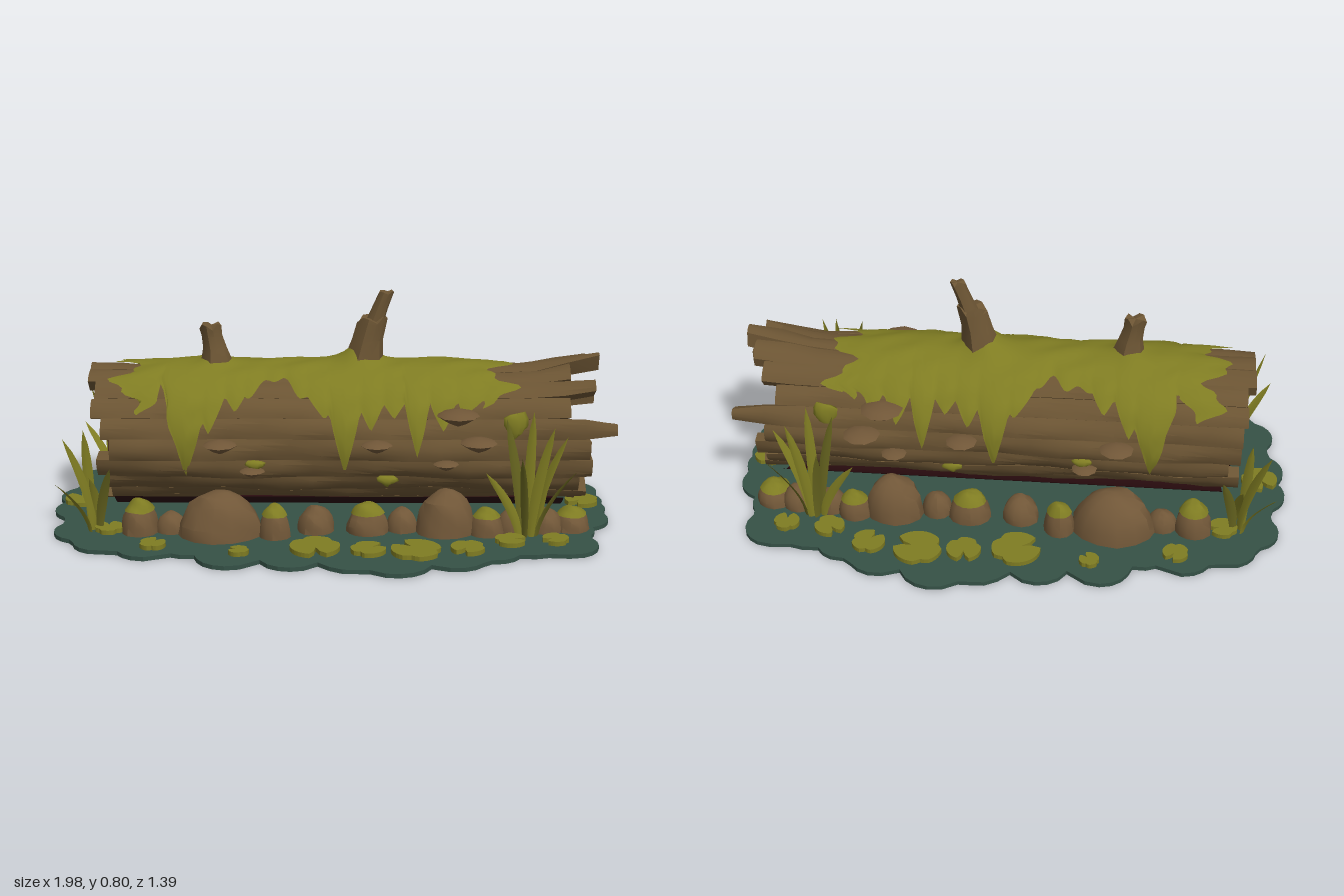
import * as THREE from 'three';
import { toCreasedNormals } from 'three/addons/utils/BufferGeometryUtils.js';

const mat = (name, color, side = THREE.FrontSide) => Object.assign(new THREE.MeshStandardMaterial({ color, side }), { name });
const M = {
  bark: mat('bark brown', 0x6b5433),
  rock: mat('rock brown', 0x715738),
  moss: mat('moss olive', 0x7f7c22, THREE.DoubleSide),
  blade: mat('dark olive', 0x66641f, THREE.DoubleSide),
  water: mat('pond teal', 0x355146),
  inside: mat('hollow maroon', 0x2a0c0f, THREE.DoubleSide),
};
const CY = 0.293, RY = 0.235, RZ = 0.248, HOLE_Z = -0.014, HOLE_K = 0.94;
const smooth = THREE.MathUtils.smoothstep;
const noise = (x, y, z) => Math.sin(x * 1.7 + y * 2.3 + 1) * Math.sin(y * 1.9 - z * 2.1 + 2) + 0.5 * Math.sin(x * 4.1 - z * 3.7 + y * 3);
let seed = 7;
const rand = () => (seed = (seed * 16807) % 2147483647) / 2147483647;

const crease = (g) => toCreasedNormals(g, 0.6);
function add(parent, name, geo, material) {
  const m = new THREE.Mesh(geo, material);
  m.name = name;
  parent.add(m);
  return m;
}
function warp(geo, rule) {
  const p = geo.attributes.position, v = new THREE.Vector3();
  for (let i = 0; i < p.count; i++) { v.fromBufferAttribute(p, i); rule(v); p.setXYZ(i, v.x, v.y, v.z); }
  geo.computeVertexNormals();
  return geo;
}
// Closed solid through a row of equal loops
function loft(loops) {
  const pos = [], idx = [], n = loops[0].length, last = loops.length - 1;
  loops.forEach((l) => l.forEach((p) => pos.push(...p)));
  for (let j = 0; j < last; j++) for (let i = 0; i < n; i++) {
    const a = j * n + i, b = j * n + (i + 1) % n;
    idx.push(a, a + n, b, b, a + n, b + n);
  }
  [0, last].forEach((j) => {
    const c = pos.length / 3, l = loops[j];
    pos.push(...[0, 1, 2].map((k) => l.reduce((s, p) => s + p[k], 0) / n));
    for (let i = 0; i < n; i++) {
      const a = j * n + i, b = j * n + (i + 1) % n;
      if (j) idx.push(c, b, a); else idx.push(c, a, b);
    }
  });
  const g = new THREE.BufferGeometry();
  g.setAttribute('position', new THREE.Float32BufferAttribute(pos, 3));
  g.setIndex(idx);
  return crease(g);
}
// Point on the log; off is the distance beyond the mean surface
function onLog(x, a, off) {
  const up = Math.max(0, Math.sin(a)), end = smooth(x, 0.66, 0.97);
  const o = off + end * (0.042 * up ** 6 + (up > 0 ? 0.025 * Math.sin(2 * a) ** 2 : 0));
  return [x, CY + Math.sin(a) * (RY + o), Math.cos(a) * (RZ + o)];
}
// How far the round side of the log stands out at height y
const sideZ = (y) => RZ * Math.sqrt(1 - ((y - CY) / RY) ** 2);

// Hollow trunk made of ragged bark staves
function addTrunk(g) {
  const xEnd = [0.9, 0.99, 0.83, 0.92, 0.84, 0.95, 0.91, 0.87, 0.82, 0.97, 0.86, 0.9, 0.87, 0.89, 0.88, 0.88, 0.87, 0.9, 0.87, 0.91];
  const trunk = new THREE.Group();
  trunk.name = 'trunk';
  g.add(trunk);
  const N = xEnd.length, S = 16;
  xEnd.forEach((x1, k) => {
    const mid = k / N * Math.PI * 2, top = Math.max(0, Math.sin(mid));
    const x0 = -0.79 - 0.05 * top - 0.05 * (rand() - 0.5), lift = 0.009 * (rand() - 0.5);
    const sharp = x1 > 0.91 ? 0.5 : 0.08;
    const loops = [];
    for (let j = 0; j <= S; j++) {
      const t = j / S, x = x0 + (x1 - x0) * t;
      const half = Math.PI / N * (1 - sharp * smooth(x, x1 - 0.16, x1)) * 1.02, loop = [];
      for (let i = 0; i < 5; i++) {
        const u = i / 2 - 1, a = mid + u * half;
        const ridge = 0.006 * Math.sin(x * 7 + a * 5) + 0.004 * Math.sin(x * 17 - a * 14);
        loop.push(onLog(x, a, lift + ridge + 0.004 - 0.006 * u * u));
      }
      for (let i = 2; i >= 0; i--) {
        const [, y, z] = onLog(x, mid + (i - 1) * half, -0.05);
        loop.push([x, y, z * HOLE_K + HOLE_Z]);
      }
      loops.push(loop);
    }
    add(trunk, 'barkStave', loft(loops), M.bark);
  });
  // Dark lining, core and the rotten underside
  const lining = new THREE.CylinderGeometry(1, 1, 1.6, 40, 1, true).rotateZ(Math.PI / 2);
  add(trunk, 'hollowLining', lining.scale(1, RY - 0.054, (RZ - 0.054) * HOLE_K).translate(0.02, CY, HOLE_Z), M.inside);
  const core = new THREE.CircleGeometry(1, 40).rotateY(Math.PI / 2);
  add(trunk, 'hollowCore', core.scale(1, RY - 0.042, (RZ - 0.042) * HOLE_K).translate(0.1, CY, HOLE_Z), M.inside);
  const belly = new THREE.CylinderGeometry(1, 1, 1.58, 16, 1, true, Math.PI * 1.5 - 0.76, 1.52).rotateZ(Math.PI / 2);
  add(trunk, 'rottenUnderside', belly.scale(1, RY + 0.026, RZ + 0.026).translate(0.03, CY, 0), M.inside);
}

// Broken branch stubs: rows of x, y, z, radius
function addStub(g, name, path, jag) {
  add(g, name, loft(path.map(([x, y, z, r], j) => Array.from({ length: 10 }, (_, i) => {
    const a = i / 10 * Math.PI * 2, k = r * (1 + 0.08 * Math.sin(i * 2.5 + j * 0.4));
    return [x + Math.cos(a) * k, y + (j === path.length - 1 ? jag * Math.sin(i * 2.2) : 0), z + Math.sin(a) * k];
  }))), M.bark);
}

// Moss blanket with drips: x, half width, lowest y
const drips = [[-0.66, 0.07, 0.41], [-0.5, 0.08, 0.2], [-0.42, 0.06, 0.35], [-0.33, 0.045, 0.42], [0.05, 0.065, 0.21],
  [-0.02, 0.07, 0.4], [0.14, 0.06, 0.36], [0.22, 0.06, 0.4], [0.3, 0.05, 0.27], [0.39, 0.06, 0.36], [0.48, 0.06, 0.4], [0.55, 0.04, 0.43]];
function mossEdge(x, s) {
  let y = 0.475 + 0.014 * Math.sin(x * 31 + s) + 0.01 * Math.sin(x * 73);
  y += 0.025 * Math.exp(-(((x + 0.2) / 0.08) ** 2));
  drips.forEach(([dx, w, low]) => {
    const d = Math.abs(x - dx) / w;
    if (d < 1) y = Math.min(y, 0.485 - (0.485 - low) * (1 - d) ** 0.85);
  });
  return Math.acos(THREE.MathUtils.clamp((y - CY) / 0.245, -0.9, 0.98));
}
function addMoss(g) {
  const geo = new THREE.PlaneGeometry(1, 1, 150, 28);
  warp(geo, (p) => {
    const v = p.y * 2, s = Math.sign(v) || 1, u = p.x + 0.5;
    let x = -0.72 + 1.32 * u;
    const phi = v * mossEdge(x, s), endness = Math.abs(2 * u - 1) ** 8;
    x += endness * (0.045 * Math.sin(phi * 9 + u * 2) + 0.02 * Math.sin(phi * 23));
    const puff = 0.014 + 0.011 * (1 - v * v) * (1 - endness) + 0.003 * noise(x * 9, phi * 4, 1);
    const mound = (c, w, h) => h * Math.exp(-(((x - c) / w) ** 2) - (phi / 0.24) ** 2);
    p.set(...onLog(x, Math.PI / 2 - phi, puff + mound(0.1, 0.07, 0.06) + mound(-0.41, 0.05, 0.02)));
  });
  add(g, 'mossBlanket', geo, M.moss);
}

// Rocks, some with a mossy cap
const dome = (w, h, d, arc, grow) => crease(warp(new THREE.SphereGeometry(1, 13, 6, 0, Math.PI * 2, 0, arc), (p) => {
  const k = grow * (1 + 0.04 * noise(p.x * 1.6 + w * 40, p.y * 1.6, p.z * 1.6 + d * 9));
  p.set(p.x * k * w / 2, p.y * k * h, p.z * k * d / 2);
}));
const rocks = [[-0.66, 0.3, 0.13, 0.115, 0.13, 1], [-0.55, 0.29, 0.11, 0.07, 0.1, 0], [-0.38, 0.32, 0.29, 0.16, 0.22, 0], [-0.19, 0.34, 0.11, 0.11, 0.11, 1],
  [-0.05, 0.28, 0.13, 0.09, 0.13, 0], [0.13, 0.29, 0.15, 0.1, 0.13, 1], [0.25, 0.27, 0.11, 0.08, 0.11, 0], [0.4, 0.29, 0.21, 0.155, 0.17, 0],
  [0.54, 0.31, 0.12, 0.09, 0.11, 1], [0.63, 0.28, 0.11, 0.08, 0.11, 0], [0.75, 0.27, 0.12, 0.08, 0.12, 0], [0.84, 0.25, 0.13, 0.075, 0.14, 1]];
// Lily pads: x, z, radius
const pads = [[-0.6, 0.455, 0.045], [-0.305, 0.52, 0.035], [-0.05, 0.48, 0.085], [0.13, 0.5, 0.06], [0.29, 0.505, 0.085],
  [0.465, 0.485, 0.058], [0.615, 0.41, 0.053], [-0.765, 0.3, 0.05], [0.77, 0.4, 0.045]];
// Grass blades: base x, base z, tip x, tip y, tip z
const blades = [[-0.82, 0.29, -0.91, 0.35, 0.34], [-0.83, 0.28, -0.845, 0.37, 0.3], [-0.8, 0.3, -0.75, 0.25, 0.36], [-0.83, 0.31, -0.94, 0.2, 0.37], [-0.8, 0.27, -0.82, 0.22, 0.37],
  [0.66, 0.33, 0.6, 0.42, 0.32], [0.68, 0.32, 0.695, 0.44, 0.3], [0.7, 0.33, 0.81, 0.36, 0.33], [0.71, 0.34, 0.84, 0.25, 0.37], [0.65, 0.34, 0.53, 0.24, 0.36],
  [0.69, 0.35, 0.76, 0.4, 0.36], [0.67, 0.35, 0.65, 0.3, 0.39], [0.72, 0.31, 0.77, 0.27, 0.29]];
// Shelf fungi: x, y, radius
const shelves = [[-0.38, 0.32, 0.06], [-0.27, 0.22, 0.045], [0.16, 0.32, 0.055], [0.44, 0.42, 0.075], [0.51, 0.33, 0.065], [0.4, 0.25, 0.045]];
// Moss spots on the bark: x, y, half width, half height
const spots = [[-0.26, 0.24, 0.035, 0.018], [0.2, 0.175, 0.035, 0.02], [0.64, 0.38, 0.035, 0.05]];

function addPad(g, x, z, r, turn) {
  const pts = Array.from({ length: 36 }, (_, i) => {
    const a = i / 36 * Math.PI * 2;
    const dip = (c, w, k) => k * Math.max(0, 1 - Math.abs(a - c) / w);
    const k = r * (1 - dip(1.05, 0.3, 0.75) - dip(3.14, 0.35, 0.15) - dip(4.7, 0.3, 0.2));
    return new THREE.Vector2(Math.cos(a + turn) * k, Math.sin(a + turn) * k);
  });
  const geo = new THREE.ExtrudeGeometry(new THREE.Shape(pts), { depth: 0.016, bevelEnabled: false });
  add(g, 'lilyPad', geo.rotateX(-Math.PI / 2), M.moss).position.set(x, 0.018, z);
}

function addSide(g, s) {
  rocks.forEach(([x, z, w, h, d, mossy]) => {
    add(g, 'rock', dome(w, h, d, Math.PI / 2, 1), M.rock).position.set(x, 0.014, z * s);
    if (mossy) add(g, 'rockMoss', dome(w, h, d, 0.85, 1.06), M.moss).position.set(x, 0.014, z * s);
  });
  pads.forEach(([x, z, r], i) => addPad(g, x, z * s, r, i * 1.9 * s));
  // Broad folded leaves, each turned about its own base
  blades.forEach(([x, z, tx, ty, tz], i) => {
    const turn = s * (i % 4 - 1.5) * 0.55;
    const geo = warp(new THREE.PlaneGeometry(2, 1, 2, 7).translate(0, 0.5, 0), (p) => {
      const t = p.y, half = 0.019 * (0.55 + 2 * t) * (1 - t) ** 0.7, across = p.x * half, fold = Math.abs(p.x) * half * -0.4;
      p.set(x + (tx - x) * t ** 1.6 + across * Math.cos(turn), 0.01 + t * ty,
        s * (z + (tz - z) * t ** 1.6 + fold) + across * Math.sin(turn));
    });
    add(g, 'grassBlade', geo, i % 3 === 2 ? M.blade : M.moss);
  });
  shelves.forEach(([x, y, r]) => {
    const prof = [[0.001, -0.55], [0.55, -0.3], [1, 0], [0.7, 0.15], [0.001, 0.3]].map(([a, b]) => new THREE.Vector2(a * r, b * r));
    add(g, 'shelfFungus', crease(new THREE.LatheGeometry(prof, 9)), M.rock).position.set(x, y, s * (sideZ(y) + r * 0.45));
  });
  spots.forEach(([x, y, w, h]) => {
    const geo = warp(new THREE.SphereGeometry(1, 10, 6), (p) => {
      const k = 1 + 0.18 * noise(p.x * 2 + x * 9, p.y * 2, 0);
      p.set(p.x * k * w * (1 + 0.5 * p.y), p.y * k * h, p.z * 0.016);
    });
    add(g, 'mossSpot', geo, M.moss).position.set(x, y, s * (sideZ(y) + 0.006));
  });
}

// Pond sheet outlined by a ring of overlapping lobes: x, z, radius
function addPond(g) {
  const lobes = [[-0.88, 0.07, 0.11], [-0.86, 0.18, 0.08], [-0.86, 0.29, 0.1], [-0.78, 0.39, 0.1], [-0.62, 0.44, 0.11], [-0.48, 0.43, 0.1], [-0.34, 0.52, 0.11], [-0.13, 0.53, 0.11],
    [0.07, 0.56, 0.1], [0.22, 0.57, 0.125], [0.42, 0.53, 0.11], [0.55, 0.47, 0.1], [0.69, 0.42, 0.1], [0.81, 0.41, 0.105], [0.82, 0.27, 0.1], [0.88, 0.15, 0.105], [0.89, 0.04, 0.1]];
  const pts = Array.from({ length: 160 }, (_, i) => {
    const a = i / 160 * Math.PI * 2, base = new THREE.Vector2(Math.cos(a) * 0.88, Math.sin(a) * 0.52);
    let t = base.length();
    const d = base.clone().normalize();
    lobes.forEach(([x, z, r]) => {
      const b = d.x * x + Math.abs(d.y) * z, q = r * r - x * x - z * z + b * b;
      if (q > 0) t = Math.max(t, b + Math.sqrt(q));
    });
    return d.multiplyScalar(t);
  });
  const geo = new THREE.ExtrudeGeometry(new THREE.Shape(pts), { depth: 0.015, bevelEnabled: false });
  add(g, 'pond', geo.rotateX(-Math.PI / 2), M.water);
}

export function createModel() {
  const g = new THREE.Group();
  g.name = 'mossyHollowLog';
  addPond(g);
  addTrunk(g);
  addMoss(g);
  addStub(g, 'smallStub', [[-0.405, 0.5, 0.01, 0.06], [-0.405, 0.56, 0.01, 0.052], [-0.41, 0.6, 0.01, 0.04], [-0.42, 0.645, 0.01, 0.034], [-0.425, 0.68, 0.01, 0.036]], 0.012);
  addStub(g, 'largeStub', [[0.11, 0.5, 0, 0.07], [0.118, 0.57, 0, 0.065], [0.13, 0.63, 0, 0.052], [0.145, 0.69, 0, 0.049], [0.15, 0.705, 0, 0.047]], 0.012);
  addStub(g, 'stubTwig', [[0.15, 0.68, 0, 0.034], [0.172, 0.74, 0, 0.028], [0.195, 0.8, 0, 0.026]], 0.006);
  [1, -1].forEach((s) => addSide(g, s));
  addPad(g, -0.9, 0, 0.065, 1);
  addPad(g, 0.91, 0, 0.06, 3);
  return g;
}
